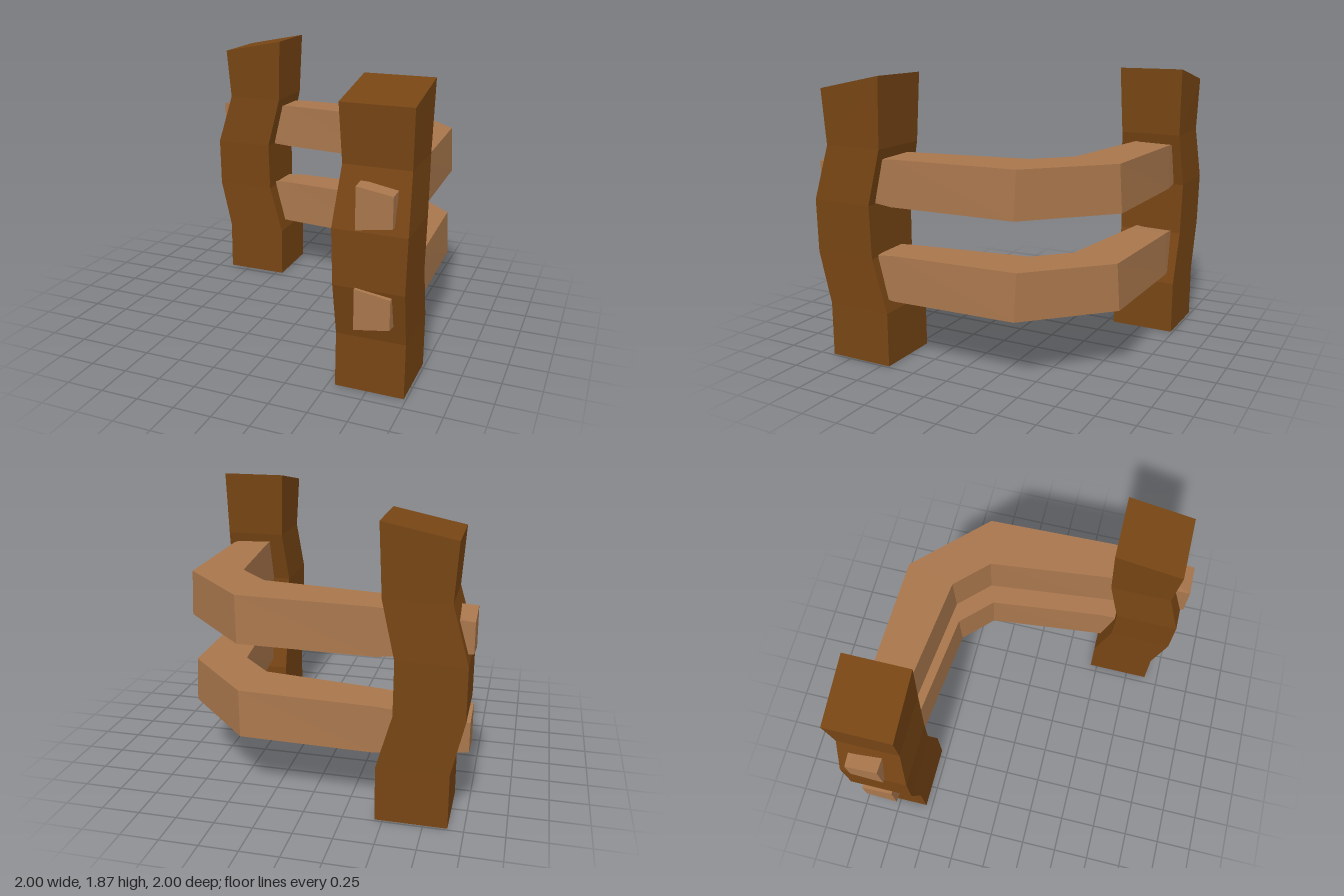
import * as THREE from 'three';

// Skin a list of four-cornered rings (counter-clockwise seen from the last ring) and cap both ends
function loft(rings, material, name) {
  const pos = [];
  const quad = (a, b, c, d) => pos.push(...a, ...b, ...c, ...a, ...c, ...d);
  for (let r = 0; r < rings.length - 1; r++) {
    const a = rings[r], b = rings[r + 1];
    for (let i = 0; i < 4; i++) {
      const j = (i + 1) % 4;
      quad(a[i], a[j], b[j], b[i]);
    }
  }
  quad(...[...rings[0]].reverse());
  quad(...rings[rings.length - 1]);
  const geometry = new THREE.BufferGeometry();
  geometry.setAttribute('position', new THREE.Float32BufferAttribute(pos, 3));
  geometry.computeVertexNormals();
  const mesh = new THREE.Mesh(geometry, material);
  mesh.name = name;
  return mesh;
}

// Reflection across the diagonal that swaps the two ends of the corner
const mirror = ([x, y, z]) => [-z, y, -x];

export function createModel() {
  const group = new THREE.Group();
  const postWood = new THREE.MeshStandardMaterial({ color: 0x774514, flatShading: true });
  const railWood = new THREE.MeshStandardMaterial({ color: 0xa8764c, flatShading: true });

  // Crooked post: x range, z range, height at the low and high x side
  const postRings = [
    [-0.9, -0.45, -0.985, -0.545, 0, 0],
    [-0.9, -0.45, -0.985, -0.548, 0.36, 0.36],
    [-0.98, -0.55, -0.99, -0.55, 0.71, 0.71],
    [-0.98, -0.555, -0.997, -0.54, 1.06, 1.06],
    [-0.877, -0.473, -0.98, -0.565, 1.42, 1.42],
    [-0.9, -0.455, -0.988, -0.547, 1.78, 1.87],
  ].map(([x0, x1, z0, z1, y0, y1]) => [[x0, y0, z1], [x1, y1, z1], [x1, y1, z0], [x0, y0, z0]]);
  group.add(loft(postRings, postWood, 'backPost'));
  group.add(loft(postRings.map((r) => r.map(mirror).reverse()), postWood, 'frontPost'));

  // Half of a bent rail: outer bottom, outer top, inner top, inner bottom
  const halfRail = [
    [[-1, 1.11, -0.91], [-1, 1.3, -0.91], [-1, 1.335, -0.69], [-1, 1.075, -0.69]],
    [[-0.43, 1.053, -0.935], [-0.43, 1.355, -0.927], [-0.43, 1.362, -0.663], [-0.43, 1.044, -0.653]],
    [[0.432, 1.055, -0.917], [0.44, 1.36, -0.9], [0.36, 1.367, -0.572], [0.365, 1.042, -0.567]],
  ];
  const railRings = [...halfRail, ...[...halfRail].reverse().map((r) => r.map(mirror))];
  [['upperRail', 0], ['lowerRail', -0.622]].forEach(([name, y]) => {
    const rail = loft(railRings, railWood, name);
    rail.position.y = y;
    group.add(rail);
  });

  return group;
}
